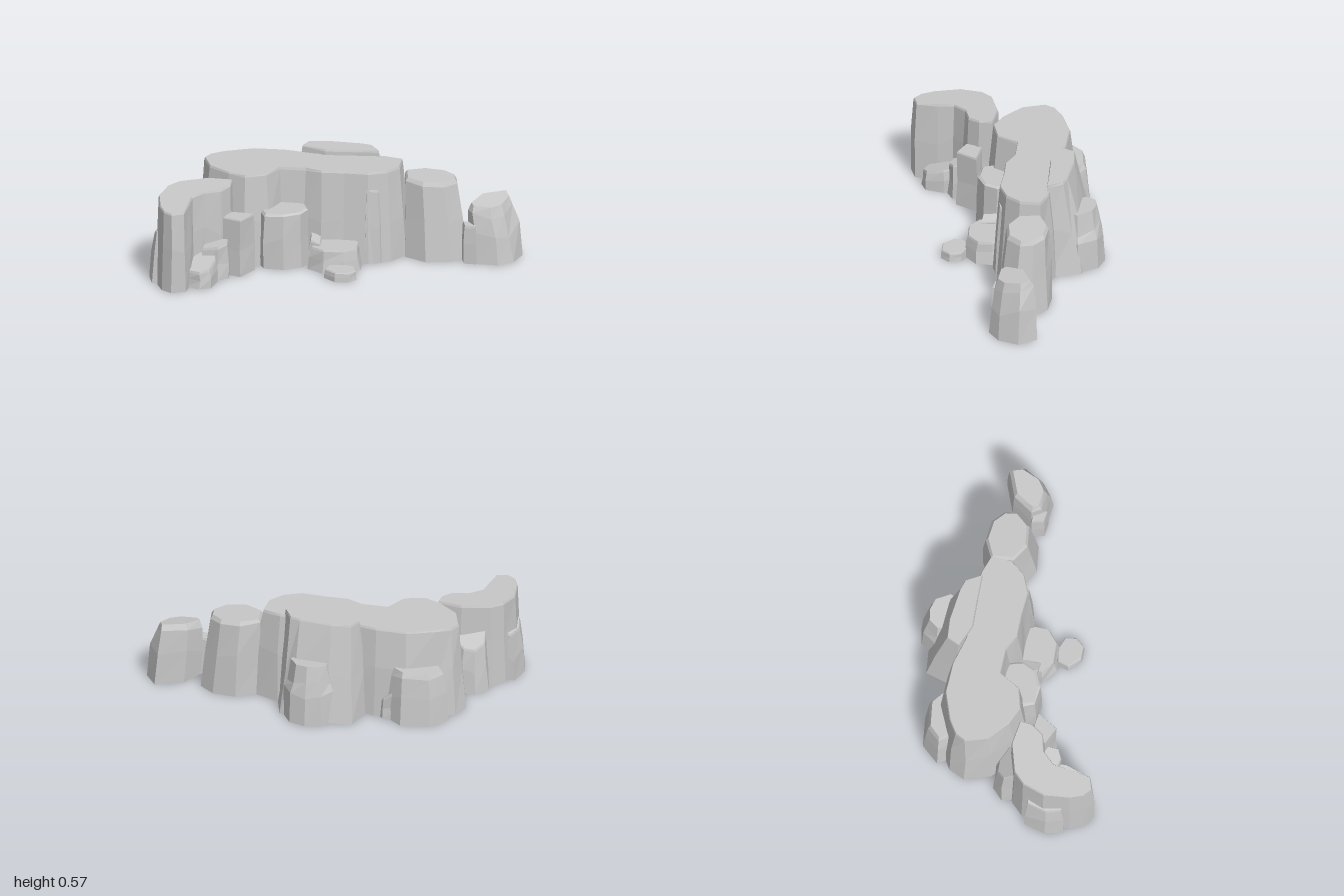
import * as THREE from 'three';

// Seeded noise in the range -1..1
let seed = 7;
const noise = () => {
  seed = (seed * 16807) % 2147483647;
  return (seed / 2147483647) * 2 - 1;
};

// Moves an anticlockwise outline outward, each corner along its mean edge normal
function grow(pts, d) {
  return pts.map((p, i) => {
    const a = pts[(i + pts.length - 1) % pts.length], b = pts[(i + 1) % pts.length];
    const t = b.clone().sub(a).normalize();
    return new THREE.Vector2(p.x + t.y * d, p.y - t.x * d);
  });
}

// Faceted rock, open underneath, lofted from a top outline of [x, z] corners.
// spread: how far the foot flares, lean: foot shift [x, z], slope: top tilt [x, z],
// bevel and rim: drop and width of the chamfer, rough: unevenness of the sides
function rockGeometry(outline, h, { spread = 0.04, lean = [0, 0], slope = [0, 0], bevel = 0.012, rim = 0.005, rough = 0.007 } = {}) {
  const top = outline.map(([x, z]) => new THREE.Vector2(x, -z));
  if (THREE.ShapeUtils.isClockWise(top)) top.reverse();
  const n = top.length;
  const c = top.reduce((s, p) => s.add(p), new THREE.Vector2()).divideScalar(n);
  const height = (p) => h + slope[0] * (p.x - c.x) - slope[1] * (p.y - c.y);
  const pos = [], idx = [];
  [[0, spread], [0.5, (spread + rim) * 0.55], [1, rim]].forEach(([f, out]) => {
    const wobble = f === 0.5 ? rough : 0;
    grow(top, out).forEach((p, i) => {
      const drop = f === 1 ? bevel * (1 + 0.4 * noise()) : 0;
      pos.push(p.x + lean[0] * (1 - f) + wobble * noise(),
        height(top[i]) * (f + wobble * 12 * noise()) - drop,
        -p.y + lean[1] * (1 - f) + wobble * noise());
    });
  });
  top.forEach((p) => pos.push(p.x, height(p), -p.y));
  for (let r = 0; r < 3; r++) for (let i = 0; i < n; i++) {
    const j = (i + 1) % n, a = r * n + i, b = r * n + j;
    idx.push(a, b, b + n, a, b + n, a + n);
  }
  THREE.ShapeUtils.triangulateShape(top, []).forEach((t) => idx.push(...t.map((k) => k + 3 * n)));
  const g = new THREE.BufferGeometry();
  g.setAttribute('position', new THREE.Float32BufferAttribute(pos, 3));
  g.setIndex(idx);
  const flat = g.toNonIndexed();
  flat.computeVertexNormals();
  return flat;
}

export function createModel() {
  seed = 7;
  const group = new THREE.Group();
  const stone = new THREE.MeshStandardMaterial({ color: 0xc8c8c8, flatShading: true, side: THREE.DoubleSide });
  stone.name = 'grey stone';
  const rock = (name, outline, h, options) => {
    const m = new THREE.Mesh(rockGeometry(outline, h, options), stone);
    m.name = name;
    group.add(m);
  };

  // Large plateaus
  rock('mainPlateau', [[-0.8, -0.13], [-0.78, -0.19], [-0.71, -0.25], [-0.56, -0.33], [-0.385, -0.35], [-0.21, -0.33],
    [-0.13, -0.34], [0.03, -0.37], [0.19, -0.385], [0.3, -0.365], [0.31, -0.25], [0.26, -0.16], [0.165, -0.1],
    [0.03, -0.09], [-0.1, -0.07], [-0.2, -0.1], [-0.35, -0.08], [-0.4, 0.05], [-0.51, 0.1], [-0.61, 0.07], [-0.74, -0.01]],
    0.54, { spread: 0.045 });
  rock('cornerPlateau', [[-0.58, 0.13], [-0.72, 0.13], [-0.87, 0.2], [-0.92, 0.27], [-0.94, 0.4], [-0.9, 0.54], [-0.86, 0.61],
    [-0.81, 0.64], [-0.75, 0.61], [-0.75, 0.49], [-0.755, 0.39], [-0.7, 0.31], [-0.61, 0.27], [-0.575, 0.2]],
    0.498, { spread: 0.018, slope: [0.015, -0.075] });

  // Rocks around the corner plateau
  rock('cornerOuterButtress', [[-0.95, 0.31], [-0.9, 0.29], [-0.88, 0.5], [-0.93, 0.5], [-0.96, 0.42]], 0.3,
    { spread: 0.035, slope: [0.6, 0] });
  rock('cornerBackRock', [[-0.86, 0.13], [-0.82, 0.08], [-0.76, 0.07], [-0.68, 0.1], [-0.68, 0.18], [-0.84, 0.2]], 0.32,
    { spread: 0.03, slope: [0.2, 0.8] });
  rock('cornerBackWedge', [[-0.68, 0.1], [-0.59, 0.09], [-0.56, 0.18], [-0.66, 0.2]], 0.18, { spread: 0.03, slope: [0, 0.6] });
  rock('cornerBlock', [[-0.575, 0.19], [-0.44, 0.19], [-0.49, 0.31], [-0.59, 0.28]], 0.345, { spread: 0.01 });
  rock('lowStump', [[-0.75, 0.36], [-0.63, 0.35], [-0.61, 0.42], [-0.62, 0.52], [-0.67, 0.55], [-0.74, 0.53]], 0.125,
    { spread: 0.015, slope: [0.1, -0.25] });
  rock('highStump', [[-0.7, 0.27], [-0.57, 0.26], [-0.56, 0.35], [-0.6, 0.38], [-0.69, 0.38]], 0.2,
    { spread: 0.015, slope: [0.2, -0.1] });

  // Stepped rocks at the front
  rock('tallStep', [[-0.35, -0.08], [-0.21, -0.07], [-0.18, 0.0], [-0.2, 0.07], [-0.28, 0.125], [-0.38, 0.13], [-0.41, 0.08]], 0.33,
    { spread: 0.025, rim: 0.015 });
  rock('middleStep', [[-0.12, -0.07], [0.08, -0.08], [0.12, -0.04], [0.13, 0.04], [0.07, 0.11], [-0.04, 0.13], [-0.12, 0.09]], 0.135,
    { spread: 0.025 });
  rock('stepWedge', [[-0.15, -0.03], [-0.1, -0.05], [-0.08, 0.07], [-0.13, 0.07]], 0.16, { spread: 0.015, slope: [-0.4, 0] });
  rock('lowStep', [[0.0, 0.15], [0.07, 0.125], [0.14, 0.14], [0.16, 0.2], [0.13, 0.25], [0.06, 0.26], [-0.01, 0.21]], 0.055,
    { spread: 0.01, bevel: 0.006, rough: 0.003 });
  rock('frontButtress', [[0.1, -0.13], [0.25, -0.2], [0.215, -0.11], [0.16, -0.09]], 0.44, { spread: 0.035, slope: [-0.2, 0], rough: 0.003 });

  // Rocks leaning on the back
  rock('backRidge', [[-0.28, -0.36], [-0.26, -0.43], [-0.15, -0.455], [0.04, -0.46], [0.1, -0.45], [0.16, -0.375], [0.03, -0.355], [-0.14, -0.325]],
    0.575, { spread: 0.065, lean: [-0.01, -0.06] });
  rock('backBoulder', [[-0.15, -0.53], [-0.12, -0.59], [-0.06, -0.61], [0.01, -0.6], [0.07, -0.53], [0.05, -0.45], [-0.12, -0.45]],
    0.35, { spread: 0.05, bevel: 0.1, rim: 0.02, slope: [0, -0.1], rough: 0.003 });
  rock('backCornerBoulder', [[-0.76, -0.3], [-0.71, -0.37], [-0.57, -0.41], [-0.5, -0.37], [-0.5, -0.28], [-0.7, -0.22]],
    0.32, { spread: 0.045, bevel: 0.04, rim: 0.015 });
  rock('backWedge', [[-0.52, -0.4], [-0.45, -0.4], [-0.41, -0.36], [-0.44, -0.28], [-0.54, -0.28]], 0.16,
    { spread: 0.015, slope: [-0.9, 0.3] });

  // Rocks trailing off to the side
  rock('sideRock', [[0.33, -0.37], [0.42, -0.43], [0.53, -0.435], [0.6, -0.39], [0.62, -0.33], [0.57, -0.25], [0.46, -0.22], [0.36, -0.26]],
    0.467, { spread: 0.05, slope: [-0.04, 0], bevel: 0.022, rim: 0.015, lean: [0.03, 0.01] });
  rock('endRock', [[0.73, -0.27], [0.77, -0.38], [0.89, -0.45], [0.92, -0.4], [0.9, -0.3], [0.85, -0.25], [0.75, -0.245]],
    0.35, { spread: 0.045, slope: [-0.08, -0.2], bevel: 0.05, rim: 0.02, lean: [0.035, 0] });
  rock('endLedge', [[0.685, -0.26], [0.75, -0.28], [0.77, -0.2], [0.71, -0.2]], 0.23, { spread: 0.01, rough: 0.003 });

  return group;
}
